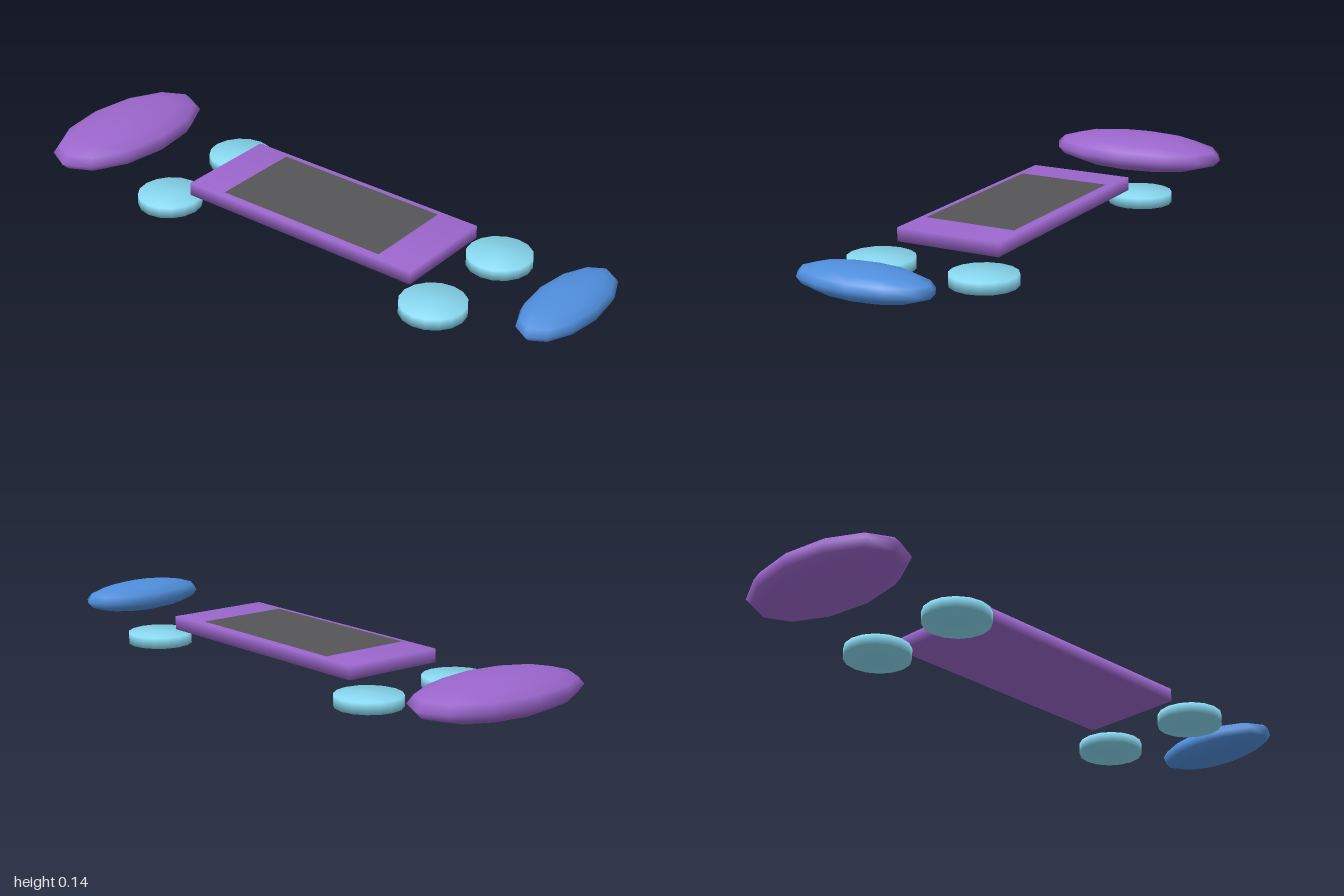
import * as THREE from 'three';
import { mergeVertices } from 'three/addons/utils/BufferGeometryUtils.js';

const PURPLE = 0x9b66cc, BLUE = 0x4f8edc, CYAN = 0x88d8f0, GREY = 0x555558;

// Shares vertices across edges so shading runs smoothly over the whole part
function softened(geometry) {
  geometry.deleteAttribute('uv');
  geometry.deleteAttribute('normal');
  const merged = mergeVertices(geometry, 1e-4);
  merged.computeVertexNormals();
  return merged;
}

export function createModel() {
  const model = new THREE.Group();

  function add(name, geometry, color, x, y, z) {
    const mesh = new THREE.Mesh(geometry, new THREE.MeshStandardMaterial({ color }));
    mesh.name = name;
    mesh.position.set(x, y, z);
    model.add(mesh);
    return mesh;
  }

  // Flattened low-poly ellipsoid with the given radii
  const ellipsoid = (rx, ry, rz) => new THREE.SphereGeometry(1, 12, 8).scale(rx, ry, rz);

  // Deck slab and the thin panel lying on it
  add('deck', softened(new THREE.BoxGeometry(0.344, 0.043, 0.863)), PURPLE, 0, 0.079, 0.03);
  const panel = add('deckPanel', new THREE.PlaneGeometry(0.303, 0.605).rotateX(-Math.PI / 2), GREY, 0, 0.1025, 0.028);
  panel.material.side = THREE.DoubleSide;

  // Four flat round feet
  const foot = softened(new THREE.CylinderGeometry(0.104, 0.104, 0.035, 16));
  for (const [end, z] of [['front', 0.548], ['back', -0.49]]) {
    for (const [side, x] of [['Left', 0.173], ['Right', -0.173]]) {
      add(end + side + 'Foot', foot, CYAN, x, 0.0175, z);
    }
  }

  // Ellipsoids floating beyond each end
  add('frontEllipsoid', ellipsoid(0.224, 0.05, 0.102), BLUE, 0, 0.079, 0.897);
  add('backEllipsoid', ellipsoid(0.31, 0.0615, 0.164), PURPLE, 0, 0.079, -0.836);

  return model;
}
